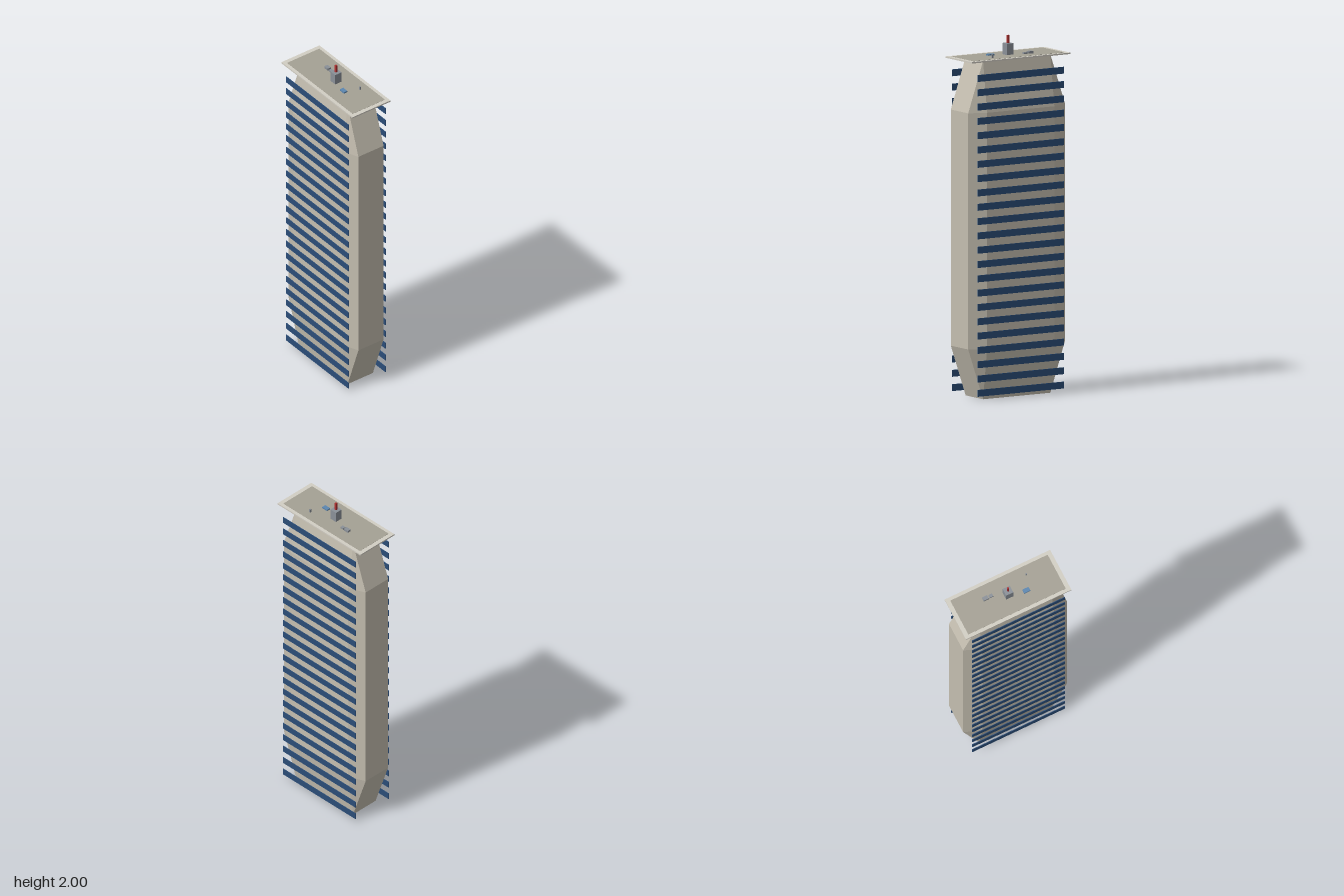
import * as THREE from 'three';

const mat = (color, extra = {}) => new THREE.MeshStandardMaterial({ color, ...extra });

function box(parent, name, material, size, pos) {
  const m = new THREE.Mesh(new THREE.BoxGeometry(...size), material);
  m.position.set(...pos);
  m.name = name;
  parent.add(m);
  return m;
}

// Tower shaft: octagonal rings whose chamfers close to a rectangle at top and bottom
function shaftGeometry() {
  const ring = (y, X, Z) => {
    const x = 0.222, z = 0.087;
    return [[X, z], [x, Z], [-x, Z], [-X, z], [-X, -z], [-x, -Z], [x, -Z], [X, -z]]
      .map(([px, pz]) => [px, y, pz]);
  };
  const rings = [
    ring(0, 0.222, 0.087), ring(0.285, 0.32, 0.127),
    ring(1.6, 0.32, 0.127), ring(1.885, 0.222, 0.087),
  ];
  const pos = [];
  const tri = (a, b, c) => pos.push(...a, ...b, ...c);
  for (let r = 0; r < 3; r++) {
    for (let i = 0; i < 8; i++) {
      const j = (i + 1) % 8;
      const a = rings[r][i], b = rings[r][j], c = rings[r + 1][j], d = rings[r + 1][i];
      // Chamfers narrow to a point at the end rings
      if (r < 2 || i % 2) tri(a, c, b);
      if (r === 2 && i % 2 === 0) tri(a, d, b);
      else tri(a, d, c);
    }
  }
  // End caps
  const [b, t] = [rings[0], rings[3]];
  tri(b[0], b[3], b[4]); tri(b[0], b[4], b[7]);
  tri(t[0], t[4], t[3]); tri(t[0], t[7], t[4]);
  const g = new THREE.BufferGeometry();
  g.setAttribute('position', new THREE.Float32BufferAttribute(pos, 3));
  g.computeVertexNormals();
  return g;
}

export function createModel() {
  const model = new THREE.Group();
  model.name = 'towerBlock';
  const concrete = mat(0xc4beb0, { flatShading: true });
  const glass = mat(0x2a4d78);
  const metal = mat(0x8a9098);

  const shaft = new THREE.Mesh(shaftGeometry(), concrete);
  shaft.name = 'shaft';
  model.add(shaft);

  // Window bands on the front and back, one per floor
  const windows = new THREE.Group();
  windows.name = 'windowBands';
  model.add(windows);
  for (let i = 0; i < 23; i++) {
    for (const s of [1, -1]) {
      box(windows, 'windowBand', glass, [0.57, 0.038, 0.004], [0, 0.043 + i * 0.0797, s * 0.128]);
    }
  }

  // Roof slab and deck
  box(model, 'roofSlab', mat(0xd2cec4), [0.65, 0.008, 0.262], [0, 1.887, 0]);
  box(model, 'roofDeck', mat(0xa5a194), [0.6, 0.002, 0.222], [0, 1.891, 0]);

  // Rooftop plant
  const roof = new THREE.Group();
  roof.name = 'rooftopPlant';
  roof.position.y = 1.891;
  model.add(roof);
  const stand = (name, material, w, h, d, x, z, y = 0) =>
    box(roof, name, material, [w, h, d], [x, y + h / 2, z]);
  stand('liftHouse', metal, 0.044, 0.064, 0.044, 0, 0);
  stand('mast', mat(0xb03030), 0.01, 0.045, 0.01, 0, 0, 0.064);
  stand('ventUnit', metal, 0.031, 0.014, 0.022, -0.122, -0.034);
  stand('smallVentUnit', metal, 0.022, 0.01, 0.018, -0.089, -0.034);
  stand('skylight', mat(0x5b86b0), 0.038, 0.009, 0.024, 0.101, 0.024);
  stand('pipe', metal, 0.008, 0.02, 0.008, 0.142, -0.059);
  return model;
}
